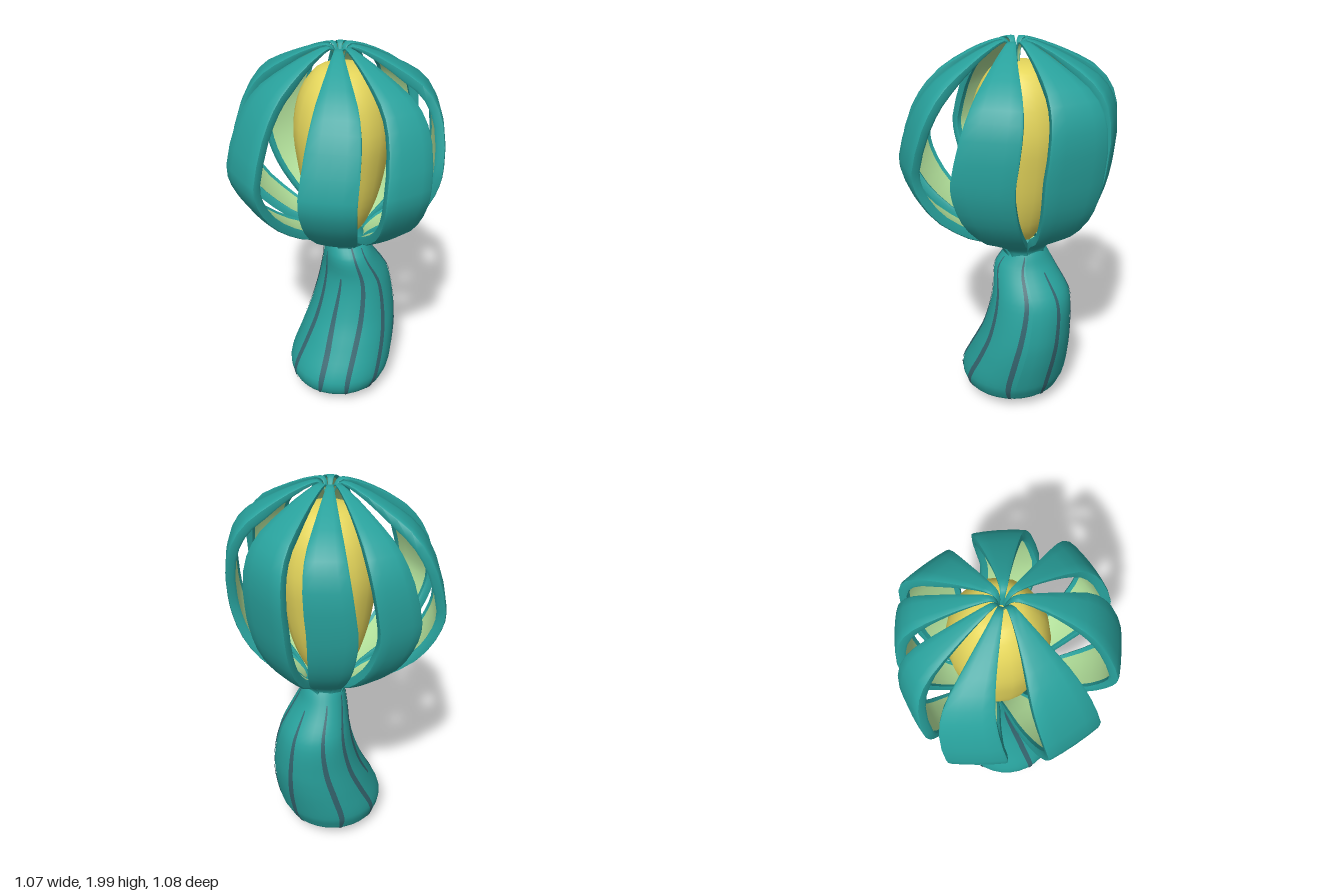
import * as THREE from 'three';
import { toCreasedNormals } from 'three/addons/utils/BufferGeometryUtils.js';

const { degToRad, lerp, clamp } = THREE.MathUtils;

const mat = (name, color) => {
  const m = new THREE.MeshStandardMaterial({ color, side: THREE.DoubleSide });
  m.name = name;
  return m;
};

// Surface from a rule: rows run upward, columns run around
function grid(rows, cols, rule) {
  const pos = [], idx = [];
  for (let i = 0; i <= rows; i++)
    for (let j = 0; j <= cols; j++) pos.push(...rule(i / rows, j));
  for (let i = 0; i < rows; i++)
    for (let j = 0; j < cols; j++) {
      const a = i * (cols + 1) + j, b = a + 1, c = a + cols + 1, d = c + 1;
      idx.push(a, c, b, b, c, d);
    }
  const g = new THREE.BufferGeometry();
  g.setAttribute('position', new THREE.Float32BufferAttribute(pos, 3));
  g.setIndex(idx);
  g.computeVertexNormals();
  return g;
}

const spline = (pts) => new THREE.CatmullRomCurve3(pts.map((p) => new THREE.Vector3(...p)));

// Stem sections: y, x min, x max, z min, z max
const SECTIONS = [
  [0.005, 0.03, 0.09, -0.07, -0.01],
  [0.03, -0.12, 0.19, -0.2, 0.11],
  [0.09, -0.225, 0.28, -0.285, 0.235],
  [0.18, -0.24, 0.32, -0.315, 0.255],
  [0.35, -0.165, 0.35, -0.325, 0.19],
  [0.5, -0.1, 0.355, -0.325, 0.13],
  [0.7, -0.045, 0.32, -0.315, 0.085],
  [0.85, -0.033, 0.225, -0.235, 0.07],
  [0.93, -0.02, 0.19, -0.19, 0.015],
  [1.0, 0.02, 0.15, -0.14, -0.01],
];
const stemCentre = spline(SECTIONS.map(([y, a, b, c, d]) => [(a + b) / 2, y, (c + d) / 2]));
const stemRadius = spline(SECTIONS.map(([, a, b, c, d]) => [(b - a) / 2, 0, (d - c) / 2]));

function stemPoint(t, angle, lift = 0) {
  const c = stemCentre.getPoint(t), r = stemRadius.getPoint(t);
  return [c.x + (r.x + lift) * Math.cos(angle), c.y, c.z + (r.z + lift) * Math.sin(angle)];
}

// Petal midline: distance from axis, height, half width
const petalLine = spline([
  [0.075, 0.84, 0.02], [0.1, 0.9, 0.036], [0.116, 0.95, 0.045], [0.185, 1.005, 0.066], [0.3, 1.07, 0.092],
  [0.43, 1.2, 0.118], [0.5, 1.34, 0.131], [0.52, 1.46, 0.135], [0.48, 1.69, 0.123],
  [0.4, 1.82, 0.1], [0.26, 1.915, 0.061], [0.12, 1.98, 0.028], [0.05, 1.994, 0.015],
  [0.02, 1.95, 0.009], [0.012, 1.89, 0.006],
]);
// Bent axis that the petals gather around, leaning equally along +x and -z
const axis = spline([0.09, 0.052, 0.015, 0, 0.025, 0.043, 0.03].map((lean, i) => [lean, 0.86 + i * 0.19, -lean]));
const axisAt = (y) => axis.getPoint(clamp((y - 0.86) / 1.14, 0, 1));

// Cross-sections: share of half width, share of thickness
const SHELL = [[-0.74, -0.9], [-0.9, -1.1], [-0.98, -0.85], [-1, -0.1], [-0.92, 0.02], [-0.5, 0.12], [0, 0.16],
  [0.5, 0.12], [0.92, 0.02], [1, -0.1], [0.98, -0.85], [0.9, -1.1], [0.74, -0.9]];
const LINING = [[0.74, -0.9], [0.4, -0.8], [0, -0.78], [-0.4, -0.8], [-0.74, -0.9]];

// A petal leaves the axis in one direction and turns to its own facing as it swells
function petalSurface(section, direction, facing, reach, width) {
  const dir = degToRad(direction), face = degToRad(facing);
  const g = grid(32, section.length - 1, (u, j) => {
    const p = petalLine.getPoint(u), t = petalLine.getTangent(u);
    const len = Math.hypot(t.x, t.y) || 1;
    const swell = Math.min(1, p.x / 0.4);
    const turn = lerp(dir, face, swell), cos = Math.cos(turn), sin = Math.sin(turn);
    const half = p.z * width, thick = Math.min(0.042, half * 0.5);
    const side = section[j][0] * half, depth = section[j][1] * thick;
    const c = axisAt(p.y);
    const r = p.x * lerp(1, reach, swell), out = depth * t.y / len;
    return [c.x + r * Math.cos(dir) + out * cos - side * sin, p.y - depth * t.x / len,
      c.z + r * Math.sin(dir) + out * sin + side * cos];
  });
  return toCreasedNormals(g, 0.9);
}

export function createModel() {
  const model = new THREE.Group();
  model.name = 'podPlant';
  const teal = mat('teal', 0x28a19c), slate = mat('slate', 0x35656f);
  const yellow = mat('yellow', 0xe6d75c), green = mat('paleGreen', 0xb2e09a);
  const add = (geometry, material, name, parent = model) => {
    const m = new THREE.Mesh(geometry, material);
    m.name = name;
    parent.add(m);
    return m;
  };

  // Leaning stem with closed underside
  add(grid(45, 32, (t, j) => stemPoint(t, (j / 32) * Math.PI * 2)), teal, 'stem');
  const base = new THREE.CircleGeometry(0.03, 16).rotateX(Math.PI / 2);
  add(base.translate(0.06, 0.003, -0.04), teal, 'stemBase');

  // Thin wavering stripes: angle, start, end along the stem
  const stripes = [[92, 0.2, 0.92], [60, 0.1, 0.85], [127, 0.22, 0.69], [8, 0.2, 0.88], [-37, 0.2, 0.77],
    [-88, 0.2, 0.82], [-127, 0.2, 0.86], [-154, 0.45, 0.86], [162, 0.22, 0.8]];
  stripes.forEach(([deg, from, to], k) => {
    const g = grid(30, 2, (u, j) => {
      const t = from + (to - from) * u;
      const wave = 0.05 * Math.sin(u * 6 + k * 1.7);
      const half = 0.062 * Math.pow(Math.sin(Math.PI * (0.06 + 0.88 * u)), 0.6);
      return stemPoint(t, degToRad(deg) + wave + (j - 1) * half, 0.004);
    });
    add(g, slate, 'stemStripe');
  });

  // Bulb inside the cage of petals
  const bulbLine = new THREE.SplineCurve([[0.01, 0.92], [0.065, 0.97], [0.135, 1.07], [0.19, 1.22], [0.225, 1.4],
    [0.242, 1.58], [0.21, 1.75], [0.14, 1.86], [0.07, 1.89], [0, 1.895]].map((p) => new THREE.Vector2(...p)));
  const bulb = add(new THREE.LatheGeometry(bulbLine.getPoints(28), 20), yellow, 'bulb');
  bulb.position.set(0.05, 0, -0.055);

  // Petals: direction, facing, reach, width
  const petals = [[14.4, 11.7, 1, 1.1], [64.2, 71.9, 1.06, 0.9], [105.7, 110.5, 0.975, 1], [162.5, 161.3, 0.99, 1.09],
    [213, 195.8, 1.05, 1.02], [251.3, 257.9, 1.05, 0.8], [286, 284.9, 0.99, 0.86], [324.4, 336, 0.98, 1.14]];
  for (const shape of petals) {
    const petal = new THREE.Group();
    petal.name = 'petal';
    add(petalSurface(SHELL, ...shape), teal, 'petalShell', petal);
    add(petalSurface(LINING, ...shape), green, 'petalLining', petal);
    model.add(petal);
  }
  return model;
}
